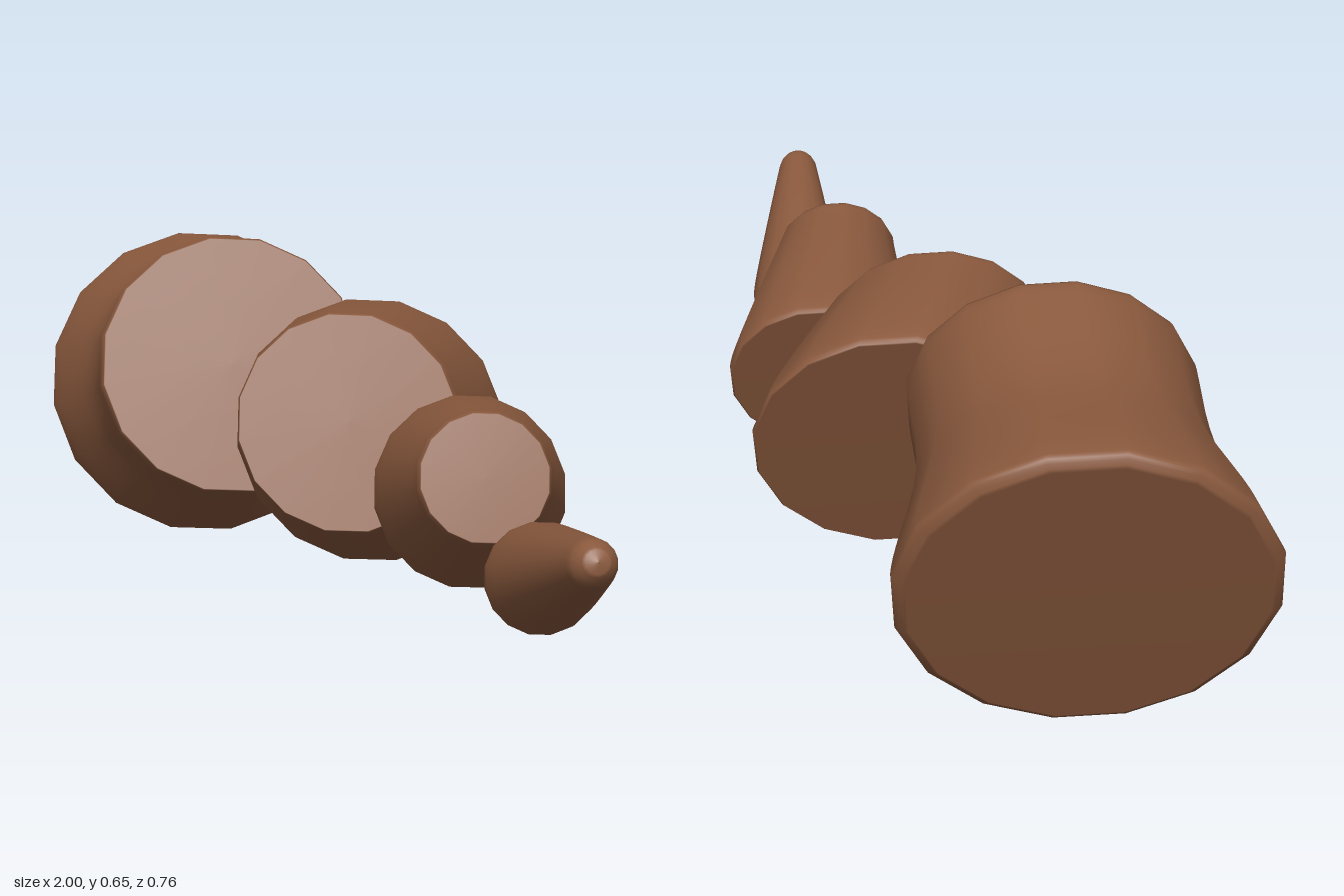
import * as THREE from 'three';

const NORMAL = new THREE.Vector3(0.82, 0.37, 0.435).normalize(); // shared tilt of all the discs
const U = new THREE.Vector3(0, 1, 0).cross(NORMAL).normalize();
const V = U.clone().cross(NORMAL);

// Turned piece between two parallel discs; the axis may lean away from the disc normal.
// Each profile point is [radius, fraction of the length]; both ends are closed flat.
function segment(name, start, end, profile, material) {
  const a = new THREE.Vector3(...start);
  const axis = new THREE.Vector3(...end).sub(a);
  const length = axis.length();
  const side = new THREE.SplineCurve(profile.map(([r, t]) => new THREE.Vector2(r, t * length)))
    .getPoints(profile.length * 3 - 3);
  const points = [new THREE.Vector2(0, 0), ...side, new THREE.Vector2(0, length)];
  const geometry = new THREE.LatheGeometry(points, 16, 0.13);
  geometry.applyMatrix4(new THREE.Matrix4().makeBasis(U, axis.divideScalar(length), V).setPosition(a));
  const mesh = new THREE.Mesh(geometry, material);
  mesh.name = name;
  return mesh;
}

export function createModel() {
  const group = new THREE.Group();
  group.name = 'segmentedTail';
  const brown = new THREE.MeshStandardMaterial({ color: 0x8b5a3e });
  brown.name = 'brown';

  // Waisted root with a broad, softly rounded base
  group.add(segment('rootSegment', [-0.834, 0.267, -0.104], [-0.377, 0.413, 0.115], [
    [0.29, 0], [0.309, 0.025], [0.31, 0.06], [0.297, 0.17], [0.257, 0.45],
    [0.245, 0.65], [0.247, 0.85], [0.248, 0.96], [0.242, 1],
  ], brown));

  // Leaning second piece
  group.add(segment('secondSegment', [-0.215, 0.288, -0.095], [0.013, 0.378, 0.122], [
    [0.243, 0], [0.25, 0.04], [0.246, 0.2], [0.227, 0.55], [0.206, 0.88], [0.201, 0.96], [0.196, 1],
  ], brown));

  // Tapered third piece
  group.add(segment('thirdSegment', [0.17, 0.261, -0.028], [0.489, 0.388, 0.183], [
    [0.166, 0], [0.172, 0.03], [0.168, 0.17], [0.143, 0.55], [0.118, 0.88], [0.113, 0.96], [0.107, 1],
  ], brown));

  // Narrow tip with a rounded end
  group.add(segment('tipSegment', [0.59, 0.236, 0.151], [0.993, 0.399, 0.366], [
    [0.088, 0], [0.092, 0.03], [0.087, 0.16], [0.066, 0.5], [0.043, 0.85], [0.035, 0.94], [0.018, 0.99],
  ], brown));

  return group;
}
